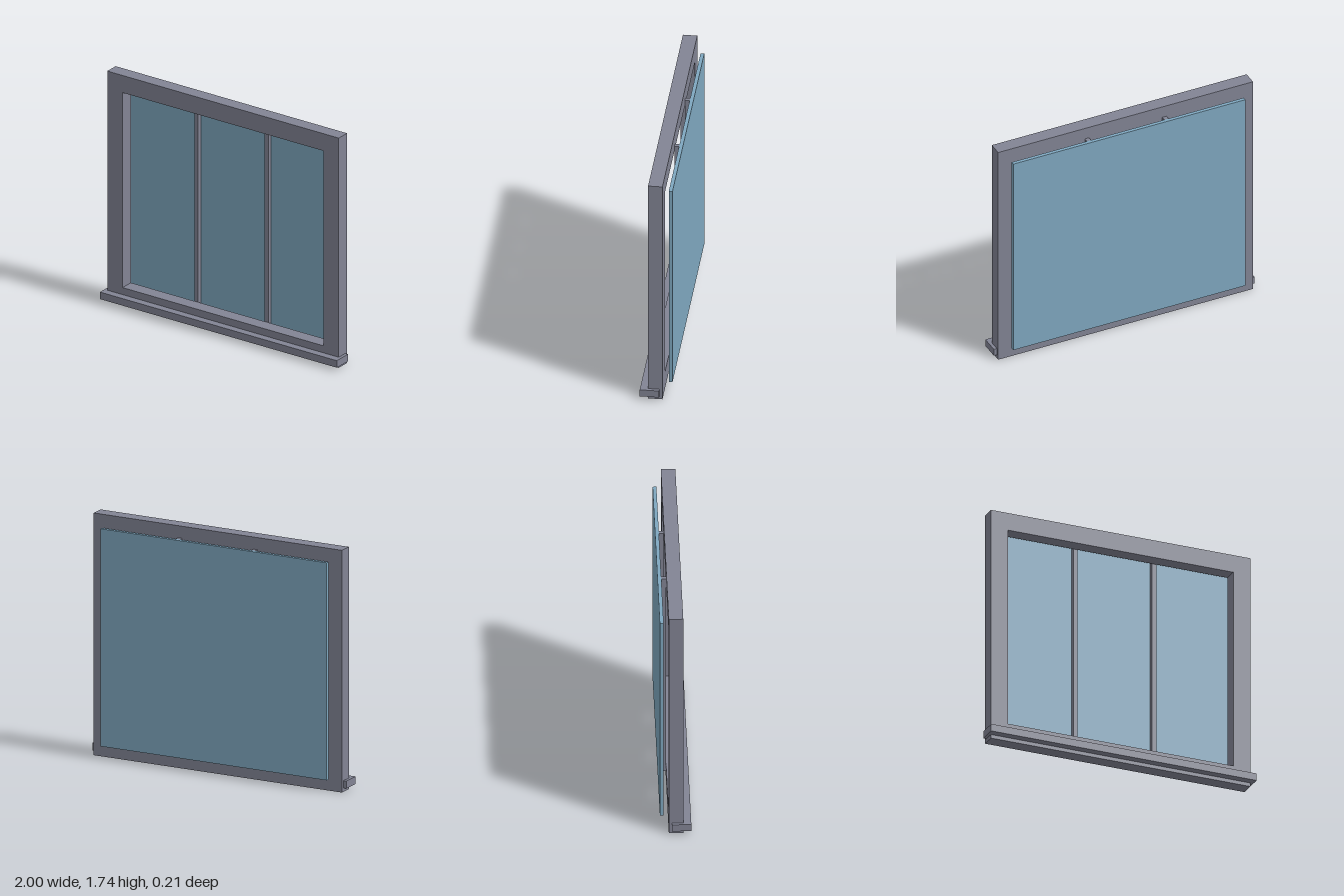
import * as THREE from 'three';

export function createModel() {
  const model = new THREE.Group();
  model.name = 'window';

  const frameMat = new THREE.MeshStandardMaterial({ color: 0x828494 });
  frameMat.name = 'grey frame';
  const glassMat = new THREE.MeshStandardMaterial({ color: 0x7fa8c0 });
  glassMat.name = 'blue glass';

  // Box given by its extents on each axis
  function addBox(name, material, [x0, x1], [y0, y1], [z0, z1]) {
    const mesh = new THREE.Mesh(new THREE.BoxGeometry(x1 - x0, y1 - y0, z1 - z0), material);
    mesh.position.set((x0 + x1) / 2, (y0 + y1) / 2, (z0 + z1) / 2);
    mesh.name = name;
    model.add(mesh);
  }

  // Outer frame with a rectangular opening
  const rectangle = (Type, x, y0, y1) => new Type([
    new THREE.Vector2(-x, y0), new THREE.Vector2(x, y0),
    new THREE.Vector2(x, y1), new THREE.Vector2(-x, y1),
  ]);
  const outline = rectangle(THREE.Shape, 0.977, 0, 1.735);
  outline.holes.push(rectangle(THREE.Path, 0.848, 0.133, 1.605));
  const frame = new THREE.Mesh(
    new THREE.ExtrudeGeometry(outline, { depth: 0.1, bevelEnabled: false }), frameMat);
  frame.position.z = -0.048;
  frame.name = 'frame';
  model.add(frame);

  // Sill projecting at the front and both ends
  addBox('sill', frameMat, [-1, 1], [0.027, 0.08], [-0.027, 0.107]);

  // Two upright bars between the frame and the glass
  for (const [name, x] of [['leftMullion', 0.297], ['rightMullion', -0.297]]) {
    addBox(name, frameMat, [x - 0.016, x + 0.016], [0.09, 1.648], [-0.081, -0.048]);
  }

  // Single pane behind the bars
  addBox('glassPane', glassMat, [-0.89, 0.89], [0.09, 1.648], [-0.107, -0.081]);

  return model;
}
